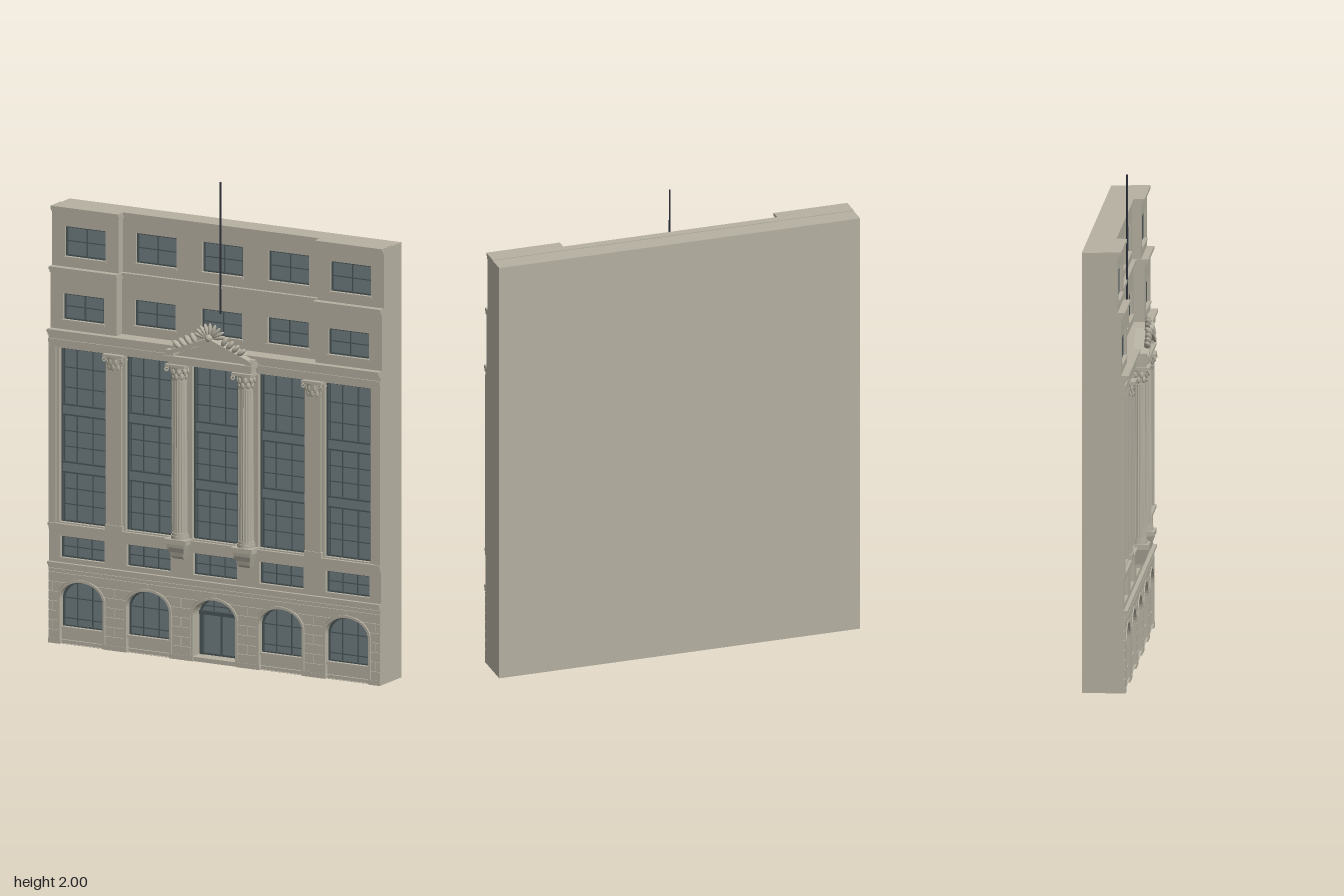
import * as THREE from 'three';

const mat = (name, color, side = THREE.FrontSide) => {
  const m = new THREE.MeshStandardMaterial({ color, side });
  m.name = name;
  return m;
};
const stone = mat('stone', 0xb5b0a1);
const glass = mat('glass', 0x6e7b7f, THREE.DoubleSide);
const frame = mat('windowFrame', 0x4a5557);
const metal = mat('poleMetal', 0x2b2f38);

const BAYS = [-0.62, -0.31, 0, 0.31, 0.62];
const W = 0.775, BACK = -0.12, FRONT = 0.05, INNER = 0.465;
const ARCH = { r: 0.1, spring: 0.19, rise: 0.075 };

function add(parent, name, geo, material, x = 0, y = 0, z = 0) {
  const m = new THREE.Mesh(geo, material);
  m.name = name;
  m.position.set(x, y, z);
  parent.add(m);
  return m;
}
// Box given by its limits
const block = (p, name, x0, x1, y0, y1, z0, z1, m = stone) =>
  add(p, name, new THREE.BoxGeometry(x1 - x0, y1 - y0, z1 - z0), m, (x0 + x1) / 2, (y0 + y1) / 2, (z0 + z1) / 2);

const poly = pts => new THREE.Shape(pts.map(p => new THREE.Vector2(p[0], p[1])));
const rect = (x0, x1, y0, y1) => poly([[x0, y0], [x1, y0], [x1, y1], [x0, y1]]);
function arch(cx, y0, grow = 0) {
  const pts = [[cx - ARCH.r - grow, y0], [cx + ARCH.r + grow, y0]];
  for (let i = 0; i <= 20; i++) {
    const a = Math.PI * i / 20;
    pts.push([cx + (ARCH.r + grow) * Math.cos(a), ARCH.spring + (ARCH.rise + grow) * Math.sin(a)]);
  }
  return poly(pts);
}
// Flat panel with openings, between two depths
function panel(p, name, shape, holes, z0, z1, m = stone) {
  shape.holes = holes;
  return add(p, name, new THREE.ExtrudeGeometry(shape, { depth: z1 - z0, bevelEnabled: false, curveSegments: 12 }), m, 0, 0, z0);
}

// Rectangular window: pane, border and glazing bars at the given fractions
function rectWindow(p, cx, w, y0, y1, z, cols, rows) {
  const g = new THREE.Group();
  g.name = 'window';
  p.add(g);
  const x0 = cx - w / 2, x1 = cx + w / 2, t = 0.006, h = y1 - y0;
  block(g, 'pane', x0, x1, y0, y1, z - 0.004, z, glass);
  panel(g, 'border', rect(x0, x1, y0, y1), [rect(x0 + t, x1 - t, y0 + t, y1 - t)], z, z + 0.01, frame);
  for (const c of cols) block(g, 'verticalBar', x0 + w * c - 0.002, x0 + w * c + 0.002, y0, y1, z, z + 0.006, frame);
  for (const r of rows) block(g, 'crossBar', x0, x1, y0 + h * r - 0.002, y0 + h * r + 0.002, z, z + 0.006, frame);
}

// Arched ground floor opening, either a window over a stone panel or the entrance
function archedOpening(p, cx) {
  const g = new THREE.Group();
  const door = cx === 0, z = door ? -0.01 : 0.022, y0 = door ? 0.02 : 0.07;
  g.name = door ? 'entrance' : 'archedWindow';
  p.add(g);
  panel(g, 'pane', arch(cx, y0), [], z - 0.004, z, glass);
  panel(g, 'border', arch(cx, y0), [arch(cx, y0 + 0.007, -0.007)], z, z + 0.01, frame);
  for (const dx of [-0.036, 0.036]) {
    const top = ARCH.spring + ARCH.rise * Math.sqrt(1 - (dx / ARCH.r) ** 2);
    block(g, 'verticalBar', cx + dx - 0.002, cx + dx + 0.002, door ? 0.2 : y0, top, z, z + 0.006, frame);
  }
  if (door) {
    panel(g, 'reveal', arch(0, 0, 0.008), [arch(0, 0.001)], -0.015, 0.025);
    block(g, 'transom', -0.1, 0.1, 0.188, 0.204, z, z + 0.016, frame);
    block(g, 'doorSplit', -0.003, 0.003, 0.02, 0.19, z, z + 0.008, frame);
    block(g, 'fanlightBar', -0.088, 0.088, 0.222, 0.226, z, z + 0.006, frame);
    for (const s of [-1, 1]) block(g, 'doorPost', s * 0.09 - 0.006, s * 0.09 + 0.006, 0.02, 0.19, z, z + 0.014, frame);
    block(g, 'doorstep', -0.1, 0.1, 0, 0.02, -0.015, 0.052);
  } else {
    for (const y of [0.105, 0.19]) block(g, 'crossBar', cx - 0.1, cx + 0.1, y - 0.002, y + 0.002, z, z + 0.006, frame);
    block(g, 'panelBelow', cx - 0.1, cx + 0.1, 0, 0.066, 0.02, 0.04);
    block(g, 'sill', cx - 0.1, cx + 0.1, 0.062, 0.072, 0.02, 0.05);
  }
  panel(g, 'archMoulding', arch(cx, 0.02, 0.01), [arch(cx, 0.02)], FRONT, FRONT + 0.009);
}

// Rusticated stone courses between the arches
function rustication(p) {
  const edge = y => {
    const t = (y - ARCH.spring) / (ARCH.rise + 0.012);
    return t <= 0 ? ARCH.r + 0.012 : t >= 1 ? 0.001 : (ARCH.r + 0.012) * Math.sqrt(1 - t * t);
  };
  const rows = 7, h = 0.04;
  for (let i = 0; i <= BAYS.length; i++) for (let r = 0; r < rows; r++) {
    const y0 = 0.02 + r * h, y1 = y0 + h - 0.004;
    const L = y => i === 0 ? -W : BAYS[i - 1] + edge(y);
    const R = y => i === BAYS.length ? W : BAYS[i] - edge(y);
    const ys = [0, 0.25, 0.5, 0.75, 1].map(t => y0 + (y1 - y0) * t);
    const mid = i === 0 ? -W + 0.02 : i === BAYS.length ? W - 0.02 : (BAYS[i - 1] + BAYS[i]) / 2;
    const course = (a, b) => panel(p, 'stoneCourse',
      poly([...ys.map(y => [b(y), y]), ...ys.slice().reverse().map(y => [a(y), y])]), [], FRONT, FRONT + 0.006);
    if (r % 2) {
      course(L, () => mid - 0.0015);
      course(() => mid + 0.0015, R);
    } else course(L, R);
  }
}

// Leafy capital with scrolled corners, standing on y = 0
function capital(p, x, y, z, depth) {
  const g = new THREE.Group();
  g.name = 'capital';
  g.position.set(x, y, z);
  g.scale.z = depth;
  p.add(g);
  add(g, 'bell', new THREE.CylinderGeometry(0.036, 0.027, 0.055, 20), stone, 0, 0.0275);
  block(g, 'abacus', -0.046, 0.046, 0.055, 0.066, -0.046, 0.046);
  for (let tier = 0; tier < 2; tier++) for (let i = 0; i < 8; i++) {
    const a = (i + tier / 2) * Math.PI / 4, r = 0.03 + tier * 0.004;
    const leaf = add(g, 'leaf', new THREE.SphereGeometry(1, 8, 6), stone, r * Math.sin(a), 0.013 + tier * 0.02, r * Math.cos(a));
    leaf.scale.set(0.009, 0.014, 0.006);
    leaf.rotation.y = a;
  }
  for (const sx of [-1, 1]) for (const sz of [-1, 1]) {
    const v = add(g, 'scroll', new THREE.TorusGeometry(0.007, 0.004, 6, 12), stone, sx * 0.04, 0.044, sz * 0.04);
    v.rotation.y = -sx * sz * Math.PI / 4;
  }
}

function flutedColumn(p, x) {
  const g = new THREE.Group();
  g.name = 'flutedColumn';
  p.add(g);
  const flutes = 16, geo = new THREE.CylinderGeometry(0.027, 0.031, 0.65, flutes * 6, 1, true), pos = geo.attributes.position;
  for (let i = 0; i < pos.count; i++) {
    const a = Math.atan2(pos.getZ(i), pos.getX(i));
    const k = 1 - 0.11 * Math.abs(Math.sin(a * flutes / 2));
    pos.setX(i, pos.getX(i) * k);
    pos.setZ(i, pos.getZ(i) * k);
  }
  geo.computeVertexNormals();
  add(g, 'shaft', geo, stone, x, 0.85, 0.062);
  for (const [r, y, h] of [[0.038, 0.517, 0.014], [0.034, 0.529, 0.01], [0.031, 1.172, 0.008]])
    add(g, 'baseRing', new THREE.CylinderGeometry(r, r, h, 24), stone, x, y, 0.062);
  capital(g, x, 1.174, 0.065, 1);
  // Bracket carrying the column
  block(g, 'bracketTop', x - 0.05, x + 0.05, 0.49, 0.51, 0.03, 0.108);
  const profile = poly([[0.04, 0.425], [0.075, 0.425], [0.09, 0.437], [0.094, 0.455], [0.103, 0.475], [0.105, 0.49], [0.04, 0.49]]);
  const bg = new THREE.ExtrudeGeometry(profile, { depth: 0.084, bevelEnabled: false });
  bg.translate(0, 0, -0.042);
  bg.rotateY(-Math.PI / 2);
  const bp = bg.attributes.position;
  for (let i = 0; i < bp.count; i++) bp.setX(i, bp.getX(i) * (0.6 + 0.4 * (bp.getY(i) - 0.425) / 0.065));
  bg.computeVertexNormals();
  add(g, 'bracket', bg, stone, x);
}

function pediment(p) {
  const g = new THREE.Group();
  g.name = 'pediment';
  p.add(g);
  block(g, 'beam', -0.195, 0.195, 1.24, 1.262, 0.04, 0.095);
  block(g, 'beamCornice', -0.205, 0.205, 1.262, 1.275, 0.04, 0.108);
  panel(g, 'tympanum', poly([[-0.17, 1.275], [0.17, 1.275], [0, 1.35]]), [], 0.04, 0.085);
  for (const s of [-1, 1]) {
    const pts = [[s * 0.2, 1.275], [s * 0.2, 1.292], [0, 1.368], [0, 1.348]];
    panel(g, 'slopingCornice', poly(s > 0 ? pts : pts.reverse()), [], 0.04, 0.108);
    block(g, 'endBlock', s * 0.185 - 0.018, s * 0.185 + 0.018, 1.275, 1.298, 0.04, 0.1);
    // Leaves climbing the slope
    for (let i = 0; i < 4; i++) {
      const leaf = add(g, 'slopeLeaf', new THREE.SphereGeometry(1, 10, 8), stone, s * (0.15 - i * 0.026), 1.325 + i * 0.012, 0.098);
      leaf.scale.set(0.011, 0.024, 0.014);
      leaf.rotation.z = -s * (0.9 - i * 0.12);
    }
  }
  // Shell crest
  for (let i = 0; i < 9; i++) {
    const a = (i - 4) * 0.34;
    const petal = add(g, 'shellPetal', new THREE.SphereGeometry(1, 10, 8), stone, Math.sin(a) * 0.046, 1.365 + Math.cos(a) * 0.034, 0.09);
    petal.scale.set(0.0085, 0.03, 0.011);
    petal.rotation.z = -a;
  }
  add(g, 'shellBoss', new THREE.SphereGeometry(0.016, 12, 8), stone, 0, 1.368, 0.1);
}

export function createModel() {
  const root = new THREE.Group();
  root.name = 'building';

  // Shell, open underneath
  block(root, 'backWall', -W, W, 0, 1.81, BACK, BACK + 0.006);
  for (const s of [-1, 1]) {
    const side = (y0, y1, z1) => block(root, 'sideWall', s * (W - 0.003) - 0.003, s * (W - 0.003) + 0.003, y0, y1, BACK, z1);
    side(0, 1.3, FRONT);
    side(1.3, 1.55, 0.04);
    side(1.55, 1.81, 0.025);
  }
  block(root, 'roof', -W, W, 1.805, 1.815, BACK, -0.01);

  // Main facade wall with openings
  const holes = BAYS.flatMap(x => [arch(x, 0.001), rect(x - 0.103, x + 0.103, 0.36, 0.45), rect(x - 0.108, x + 0.108, 0.508, 1.234)]);
  panel(root, 'facade', rect(-W, W, 0, 1.3), holes, 0.02, FRONT);
  rustication(root);
  for (const x of BAYS) {
    archedOpening(root, x);
    rectWindow(root, x, 0.206, 0.36, 0.45, 0.024, [1 / 3, 2 / 3], [0.5]);
    rectWindow(root, x, 0.216, 0.508, 1.234, 0.022, [0.06, 0.33, 0.67, 0.94],
      [0.1, 0.19, 0.28, 0.335, 0.43, 0.52, 0.61, 0.665, 0.77, 0.885]);
    for (const y of [0.735, 0.975]) {
      block(root, 'spandrelPanel', x - 0.1, x + 0.1, y - 0.02, y + 0.02, 0.024, 0.03, glass);
      for (const e of [-0.021, 0.021]) block(root, 'spandrelRail', x - 0.105, x + 0.105, y + e - 0.003, y + e + 0.003, 0.022, 0.035, frame);
    }
  }

  // Horizontal mouldings: y0, y1, front depth
  for (const [y0, y1, z] of [[0, 0.02, 0.058], [0.3, 0.312, 0.056], [0.316, 0.328, 0.06], [0.328, 0.34, 0.066],
    [0.475, 0.49, 0.056], [0.49, 0.503, 0.064]]) {
    if (y0 > 0) block(root, 'stringCourse', -W, W, y0, y1, 0.03, z);
    else for (let i = 0; i <= 5; i++) // plinth between the openings
      block(root, 'plinth', i ? BAYS[i - 1] + 0.1 : -W, i < 5 ? BAYS[i] - 0.1 : W, y0, y1, 0.03, z);
  }
  for (const [y0, y1, z] of [[1.238, 1.255, 0.055], [1.255, 1.27, 0.059], [1.27, 1.286, 0.053], [1.286, 1.298, 0.064], [1.298, 1.31, 0.071]])
    block(root, 'entablature', -W, W, y0, y1, -0.03, z);

  // Pilasters and columns
  for (const s of [-1, 1]) {
    block(root, 'pilaster', s * INNER - 0.033, s * INNER + 0.033, 0.503, 1.238, 0.04, 0.06);
    block(root, 'pilasterBase', s * INNER - 0.04, s * INNER + 0.04, 0.503, 0.525, 0.04, 0.065);
    block(root, 'edgePilaster', s * 0.758 - 0.017, s * 0.758 + 0.017, 0.503, 1.238, 0.04, 0.056);
    capital(root, s * INNER, 1.172, 0.055, 0.5);
    flutedColumn(root, s * 0.155);
  }
  pediment(root);

  // Upper storeys: projecting wings and a recessed centre
  for (const [w0, w1, y0, y1, wing, centre] of [[1.352, 1.46, 1.3, 1.55, 0.04, -0.005], [1.612, 1.737, 1.55, 1.81, 0.025, -0.012]]) {
    const opening = x => rect(x - 0.095, x + 0.095, w0, w1);
    panel(root, 'recessedWall', rect(-INNER, INNER, y0, y1), BAYS.slice(1, 4).map(opening), centre - 0.025, centre);
    for (const s of [-1, 1]) {
      panel(root, 'wingWall', rect(Math.min(s * INNER, s * W), Math.max(s * INNER, s * W), y0, y1), [opening(s * 0.62)], wing - 0.025, wing);
      block(root, 'wingReturn', s * (INNER + 0.003) - 0.003, s * (INNER + 0.003) + 0.003, y0, y1, -0.04, wing);
    }
    for (const x of BAYS) {
      const z = Math.abs(x) > 0.5 ? wing : centre;
      rectWindow(root, x, 0.19, w0, w1, z - 0.02, [0.5], [0.5]);
      block(root, 'windowSill', x - 0.1, x + 0.1, w0 - 0.009, w0, z - 0.02, z + 0.007);
    }
  }
  // Ledge and top cornice following the recess
  for (const [y0, y1, wing, centre] of [[1.543, 1.555, 0.048, 0.0], [1.555, 1.568, 0.055, 0.006], [1.795, 1.805, 0.032, -0.008], [1.805, 1.818, 0.04, -0.003]]) {
    block(root, 'centreCornice', -INNER, INNER, y0, y1, -0.04, centre);
    for (const s of [-1, 1])
      block(root, 'wingCornice', Math.min(s * (INNER - 0.006), s * W), Math.max(s * (INNER - 0.006), s * W), y0, y1, -0.04, wing);
  }

  // Flagpole
  add(root, 'flagpole', new THREE.CylinderGeometry(0.0035, 0.005, 0.55, 10), metal, 0, 1.725, 0.004);
  return root;
}
